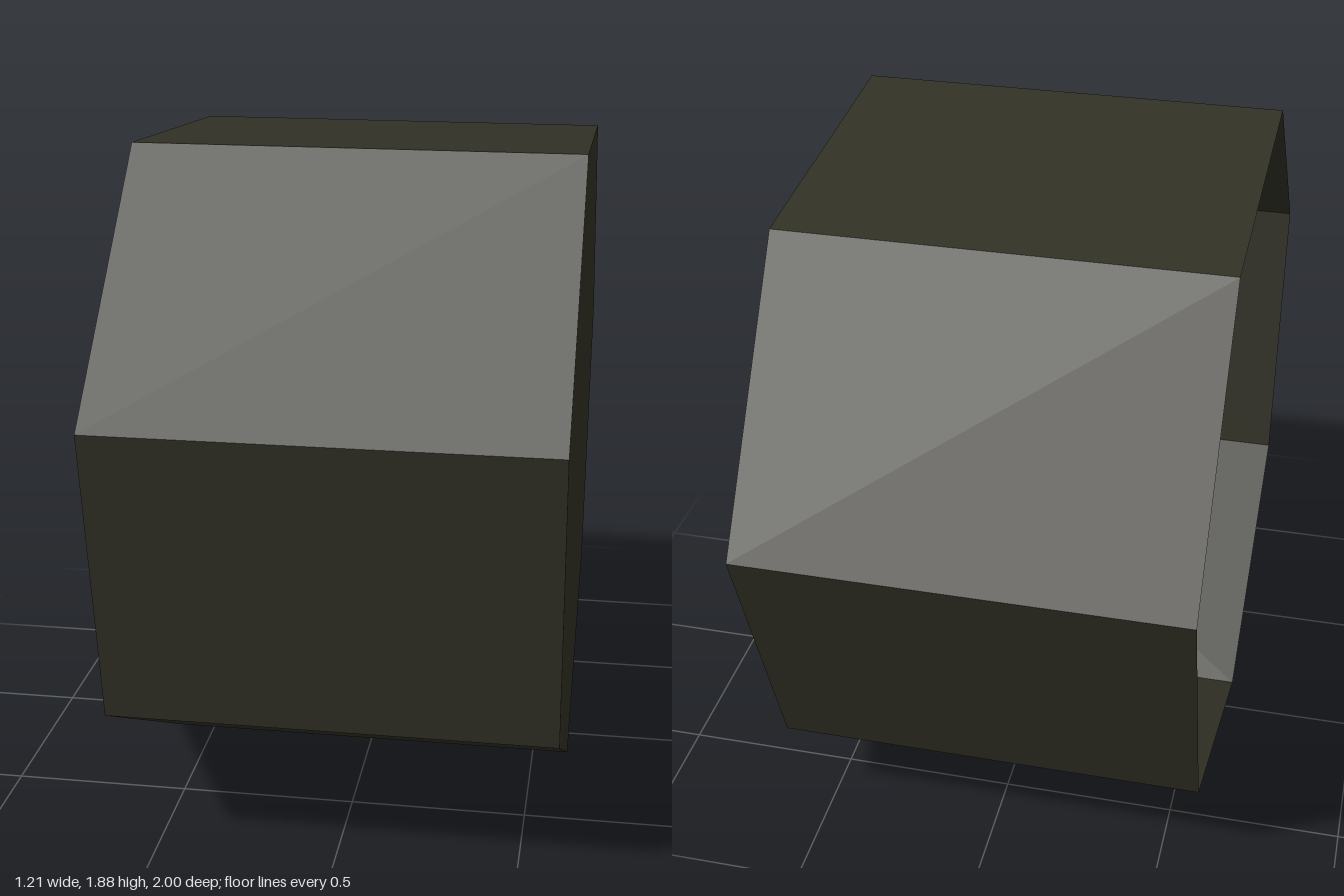
import * as THREE from 'three';

// Seven-sided cross-section as [z, y], clockwise seen from +x
const SECTION = [
  [0.38, 1.885], [-0.51, 1.81], [-1, 1.1], [-0.72, 0.3],
  [0.12, 0], [0.885, 0.44], [1, 1.275],
];
const HALF = 0.605;

export function createModel() {
  const group = new THREE.Group();
  group.name = 'heptagonalCup';

  const darkOlive = new THREE.MeshStandardMaterial({ color: 0x323126, side: THREE.DoubleSide });
  darkOlive.name = 'dark olive';

  // Side wall: one flat quad per section edge
  const positions = [];
  SECTION.forEach(([z0, y0], i) => {
    const [z1, y1] = SECTION[(i + 1) % SECTION.length];
    positions.push(
      HALF, y0, z0, HALF, y1, z1, -HALF, y0, z0,
      -HALF, y0, z0, HALF, y1, z1, -HALF, y1, z1,
    );
  });
  const wallGeometry = new THREE.BufferGeometry();
  wallGeometry.setAttribute('position', new THREE.Float32BufferAttribute(positions, 3));
  wallGeometry.computeVertexNormals();
  const wall = new THREE.Mesh(wallGeometry, darkOlive);
  wall.name = 'sideWall';
  group.add(wall);

  // Closed end at +x; the -x end stays open
  const outline = new THREE.Shape(SECTION.map(([z, y]) => new THREE.Vector2(-z, y)));
  const cap = new THREE.Mesh(new THREE.ShapeGeometry(outline), darkOlive);
  cap.name = 'endCap';
  cap.rotation.y = Math.PI / 2;
  cap.position.x = HALF;
  group.add(cap);

  return group;
}
